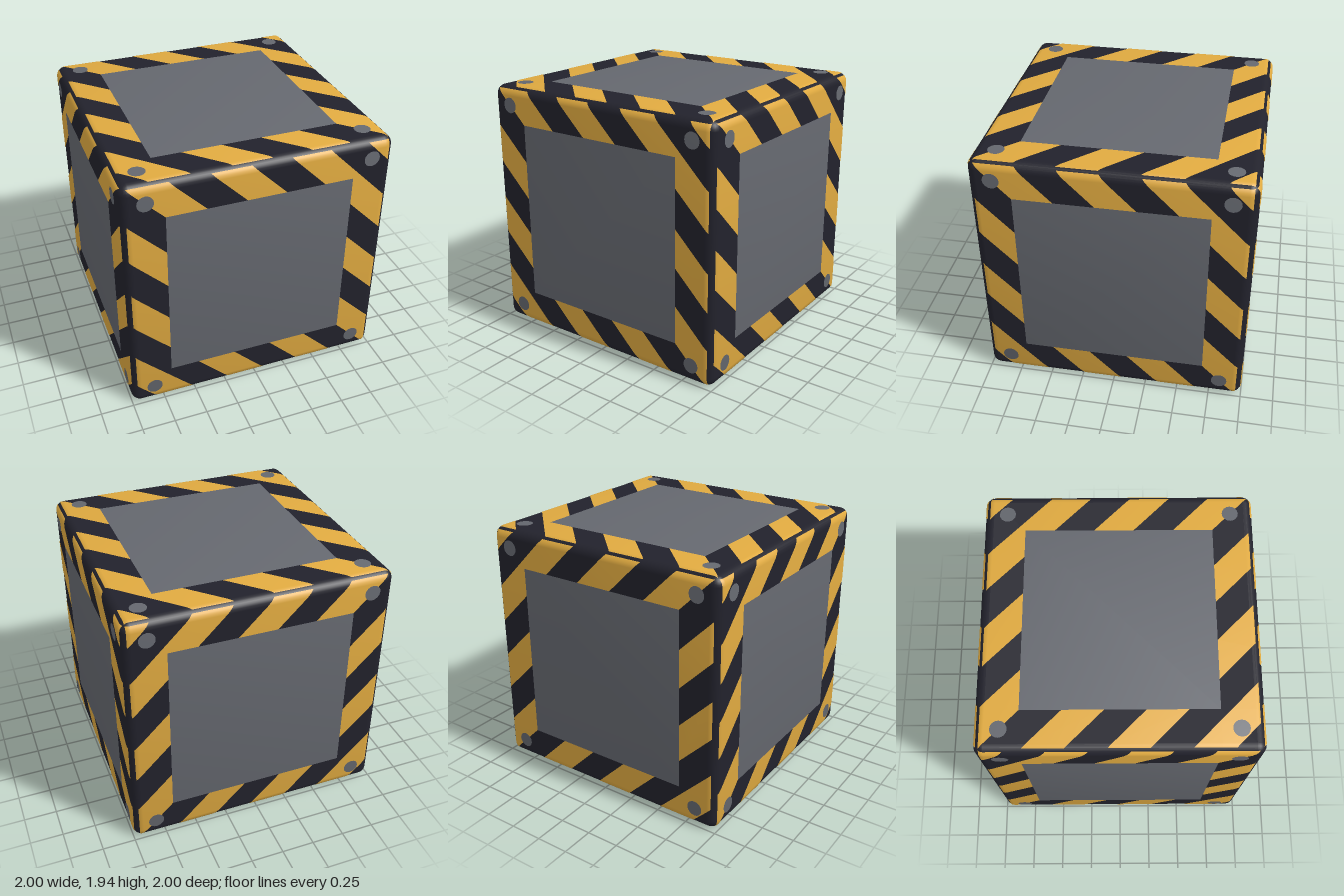
import * as THREE from 'three';
import { RoundedBoxGeometry } from 'three/addons/geometries/RoundedBoxGeometry.js';

const W = 0.996, H = 0.967, R = 0.07;   // half width, half height, edge radius
const PANEL = 0.69, STRIPE = 0.291;     // half panel size, stripe width along an edge
const BOLT = 0.825, BOLT_R = 0.06;

const mat = (name, color) => {
  const m = new THREE.MeshStandardMaterial({ color });
  m.name = name;
  return m;
};

// Cut a flat polygon, keeping the side where sign * (dot(axis, p) - limit) >= 0
function clip(poly, [a, b], limit, sign) {
  const out = [];
  poly.forEach((p, i) => {
    const q = poly[(i + 1) % poly.length];
    const dp = sign * (a * p[0] + b * p[1] - limit);
    const dq = sign * (a * q[0] + b * q[1] - limit);
    if (dp >= 0) out.push(p);
    if (dp * dq < 0) {
      const t = dp / (dp - dq);
      out.push([p[0] + (q[0] - p[0]) * t, p[1] + (q[1] - p[1]) * t]);
    }
  });
  return out;
}

const rect = (u0, u1, v0, v1) => [[u0, v0], [u1, v0], [u1, v1], [u0, v1]];

// Lay flat polygons on one side of the rounded box
function lay(polys, face, sign, lift) {
  const pos = [], nor = [];
  const over = (t, half) => Math.sign(t) * Math.max(0, Math.abs(t) - (half - R));
  const put = ([u, v]) => {
    const du = over(u, face.hu), dv = over(v, face.hv);
    const up = Math.sqrt(Math.max(0, R * R - du * du - dv * dv));
    const place = (a, b, c) => new THREE.Vector3()
      .addScaledVector(face.u, a).addScaledVector(face.v, b).addScaledVector(face.n, c * sign);
    pos.push(...place(u, v, face.hn - R + up + lift).toArray());
    // slightly pillowed smooth normals
    nor.push(...place(du / R + 0.12 * u, dv / R + 0.12 * v, up / R).normalize().toArray());
  };
  for (const p of polys) {
    for (let i = 1; i < p.length - 1; i++) {
      (sign > 0 ? [p[0], p[i], p[i + 1]] : [p[0], p[i + 1], p[i]]).forEach(put);
    }
  }
  const g = new THREE.BufferGeometry();
  g.setAttribute('position', new THREE.Float32BufferAttribute(pos, 3));
  g.setAttribute('normal', new THREE.Float32BufferAttribute(nor, 3));
  return g;
}

// Grid lines from the panel out over the rounded edge, mirrored about zero
function gridLines(half, end) {
  const flat = half - R;
  const pos = [PANEL, flat, flat + (end - flat) * 0.5, flat + (end - flat) * 0.8, end];
  return [...pos.map((t) => -t).reverse(), ...pos];
}

// Diagonal stripes filling the border around the panel
function stripePolys(face) {
  const us = gridLines(face.hu, face.endU), vs = gridLines(face.hv, face.endV);
  const polys = [];
  for (let i = 0; i < us.length - 1; i++) {
    for (let j = 0; j < vs.length - 1; j++) {
      if (us[i] === -PANEL && vs[j] === -PANEL) continue;
      const cell = rect(us[i], us[i + 1], vs[j], vs[j + 1]);
      for (let k = -4; k <= 3; k++) {
        const start = 2 * k * STRIPE;
        const p = clip(clip(cell, [1, 1], start, 1), [1, 1], start + STRIPE, -1);
        if (p.length > 2) polys.push(p);
      }
    }
  }
  return polys;
}

// Round bolt heads in the four corners
function boltPolys() {
  const polys = [];
  for (const x of [-BOLT, BOLT]) {
    for (const y of [-BOLT, BOLT]) {
      polys.push(Array.from({ length: 16 }, (_, i) => {
        const a = (i / 16) * Math.PI * 2;
        return [x + BOLT_R * Math.cos(a), y + BOLT_R * Math.sin(a)];
      }));
    }
  }
  return polys;
}

export function createModel() {
  const dark = mat('dark edging', 0x22222c);
  const yellow = mat('warning yellow', 0xe0aa40);
  const grey = mat('panel grey', 0x65686f);

  const group = new THREE.Group();
  group.name = 'hazardCrate';
  const add = (name, geometry, material) => {
    const m = new THREE.Mesh(geometry, material);
    m.name = name;
    m.position.y = 0.97;
    group.add(m);
  };

  // Dark rounded body
  add('body', new RoundedBoxGeometry(2 * W, 2 * H, 2 * W, 3, R), dark);

  // Each pair of opposite sides shares one pattern
  const X = new THREE.Vector3(1, 0, 0), Y = new THREE.Vector3(0, 1, 0), Z = new THREE.Vector3(0, 0, 1);
  const back = Z.clone().negate();
  const side = { hu: W, hv: H, hn: W, endU: 0.957, endV: 0.947 };
  const faces = [
    { ...side, names: ['front', 'back'], u: X, v: Y, n: Z },
    { ...side, names: ['left', 'right'], u: back, v: Y, n: X },
    { names: ['top', 'bottom'], u: X, v: back, n: Y, hu: W, hv: W, hn: H, endU: 0.957, endV: 0.957 },
  ];
  for (const face of faces) {
    [1, -1].forEach((sign, i) => {
      const name = face.names[i];
      add(name + 'Stripes', lay(stripePolys(face), face, sign, 0.003), yellow);
      add(name + 'Panel', lay([rect(-PANEL, PANEL, -PANEL, PANEL)], face, sign, 0.003), grey);
      add(name + 'Bolts', lay(boltPolys(), face, sign, 0.005), grey);
    });
  }
  return group;
}
